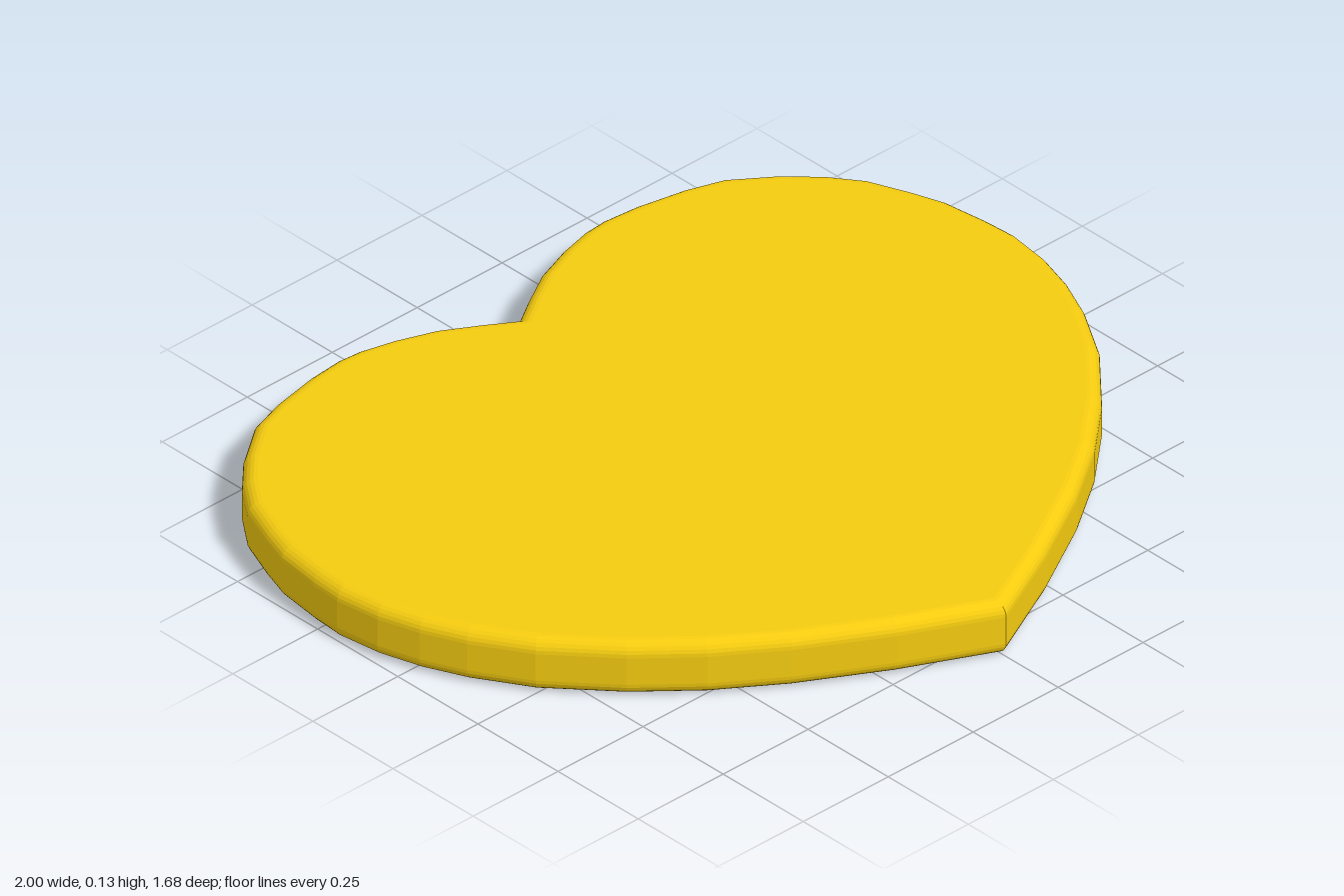
import * as THREE from 'three';

// Right half of the heart outline, from the notch round to the tip (x, up in plan)
const HALF = [
  [0, 0.685], [0.07, 0.73], [0.155, 0.78], [0.25, 0.815], [0.33, 0.835], [0.39, 0.84],
  [0.48, 0.832], [0.6, 0.808], [0.69, 0.778], [0.79, 0.705], [0.86, 0.635], [0.915, 0.56],
  [0.955, 0.46], [0.98, 0.385], [0.995, 0.27], [1, 0.19], [0.985, 0.08], [0.955, -0.02],
  [0.91, -0.12], [0.83, -0.25], [0.7, -0.395], [0.57, -0.51], [0.42, -0.615], [0.22, -0.73],
  [0, -0.838],
];

export function createModel() {
  const group = new THREE.Group();
  const height = 0.134;
  const bevel = 0.033;

  // Mirror the half outline, skipping the shared notch and tip
  const left = HALF.slice(1, -1).reverse().map(([x, y]) => [-x, y]);
  const shape = new THREE.Shape([...HALF, ...left].map(([x, y]) => new THREE.Vector2(x, y)));

  // Flat plate with rounded rims; the negative offset keeps the outline as the outer edge
  const geometry = new THREE.ExtrudeGeometry(shape, {
    depth: height - 2 * bevel,
    bevelEnabled: true,
    bevelThickness: bevel,
    bevelSize: bevel,
    bevelOffset: -bevel,
    bevelSegments: 6,
  });
  geometry.rotateX(-Math.PI / 2);
  geometry.translate(0, bevel, 0);

  const heart = new THREE.Mesh(geometry, new THREE.MeshStandardMaterial({ color: 0xf5cc10 }));
  heart.name = 'heartPlate';
  group.add(heart);
  return group;
}
